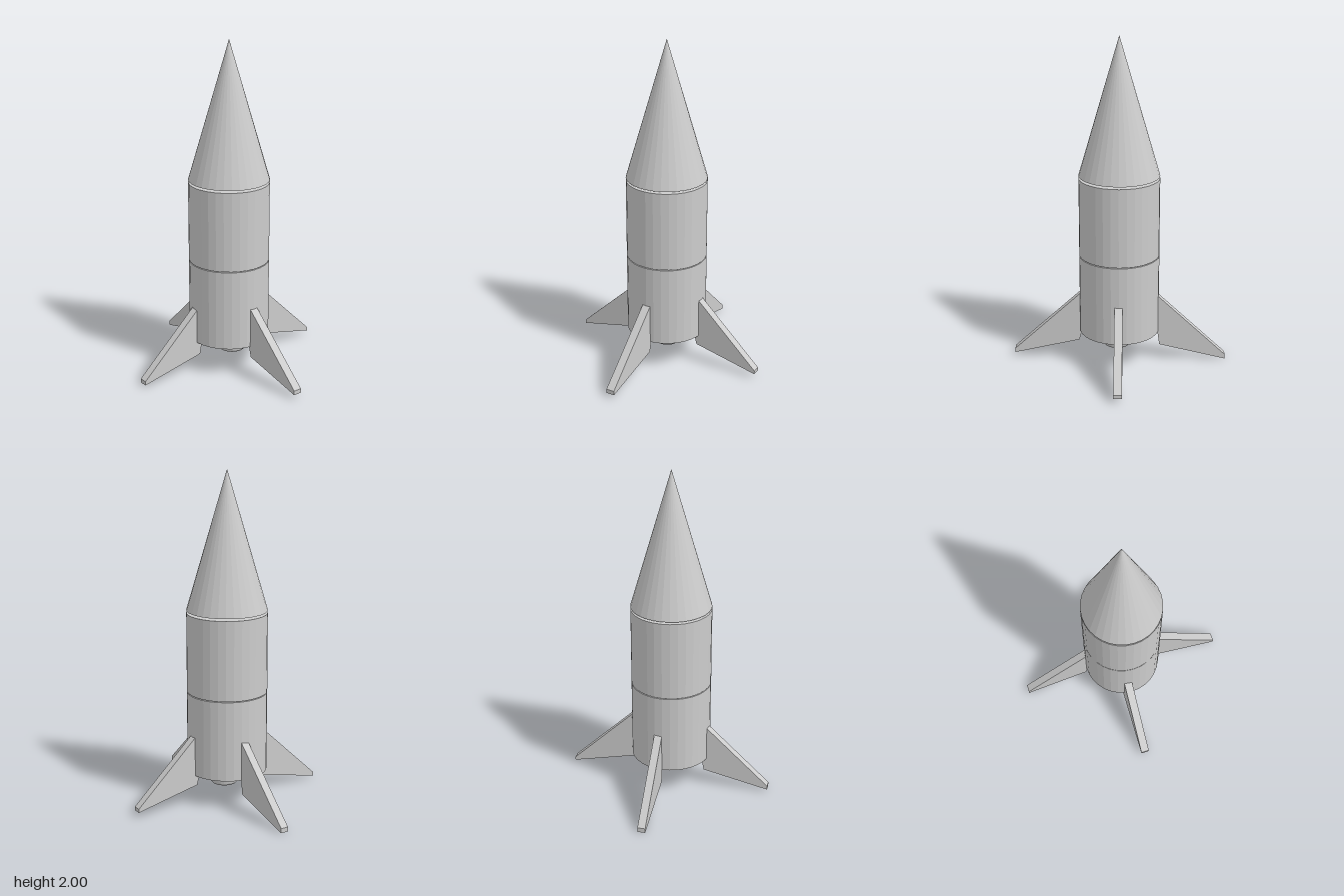
import * as THREE from 'three';

export function createModel() {
  const rocket = new THREE.Group();
  rocket.name = 'rocket';
  const grey = new THREE.MeshStandardMaterial({
    name: 'lightGrey', color: 0xcccccc, flatShading: true, side: THREE.DoubleSide,
  });
  const RADIUS = 0.2425, SIDES = 32, CX = 0.002, CZ = 0.002;

  function add(name, geometry, x = 0, y = 0, z = 0) {
    const mesh = new THREE.Mesh(geometry, grey);
    mesh.name = name;
    mesh.position.set(x, y, z);
    rocket.add(mesh);
    return mesh;
  }

  // Stacked hull sections with narrow gaps between them
  function section(name, bottom, top, topRadius) {
    const geometry = new THREE.CylinderGeometry(topRadius, RADIUS, top - bottom, SIDES);
    add(name, geometry, CX, (bottom + top) / 2, CZ);
  }
  section('lowerBody', 0.18, 0.669, RADIUS);
  section('upperBody', 0.674, 1.156, RADIUS);
  section('noseCone', 1.17, 2, 0);

  // Rounded, hollow engine nozzle, slightly off centre
  const nozzleProfile = [
    [0, 0.125], [0.05, 0.125], [0.062, 0.11], [0.062, 0.085], [0.074, 0.085],
    [0.084, 0.098], [0.088, 0.12], [0.088, 0.14], [0.083, 0.165], [0.075, 0.18],
  ].map(([r, y]) => new THREE.Vector2(r, y));
  add('nozzle', new THREE.LatheGeometry(nozzleProfile, SIDES), 0.016, 0, -0.01);

  // Fins: outline as (distance outwards, height), z range as thickness, turned about y
  function fin(name, turn, outline, z0, z1) {
    const shape = new THREE.Shape(outline.map(([r, y]) => new THREE.Vector2(r, y)));
    const geometry = new THREE.ExtrudeGeometry(shape, { depth: z1 - z0, bevelEnabled: false });
    geometry.translate(0, 0, z0);
    add(name, geometry).rotation.y = turn;
  }
  fin('leftFin', 0,
    [[0.235, 0.427], [0.23, 0.18], [0.248, 0.113], [0.648, 0.024], [0.648, 0.05]], -0.024, 0.027);
  fin('rightFin', Math.PI,
    [[0.23, 0.42], [0.233, 0.18], [0.245, 0.095], [0.65, 0], [0.65, 0.028]], 0, 0.047);
  fin('frontFin', -Math.PI / 2,
    [[0.236, 0.395], [0.206, 0.18], [0.222, 0.098], [0.623, 0.01], [0.623, 0.034]], 0.002, 0.052);
  fin('backFin', Math.PI / 2,
    [[0.23, 0.427], [0.21, 0.18], [0.225, 0.118], [0.625, 0.028], [0.625, 0.05]], -0.021, 0.028);

  return rocket;
}
